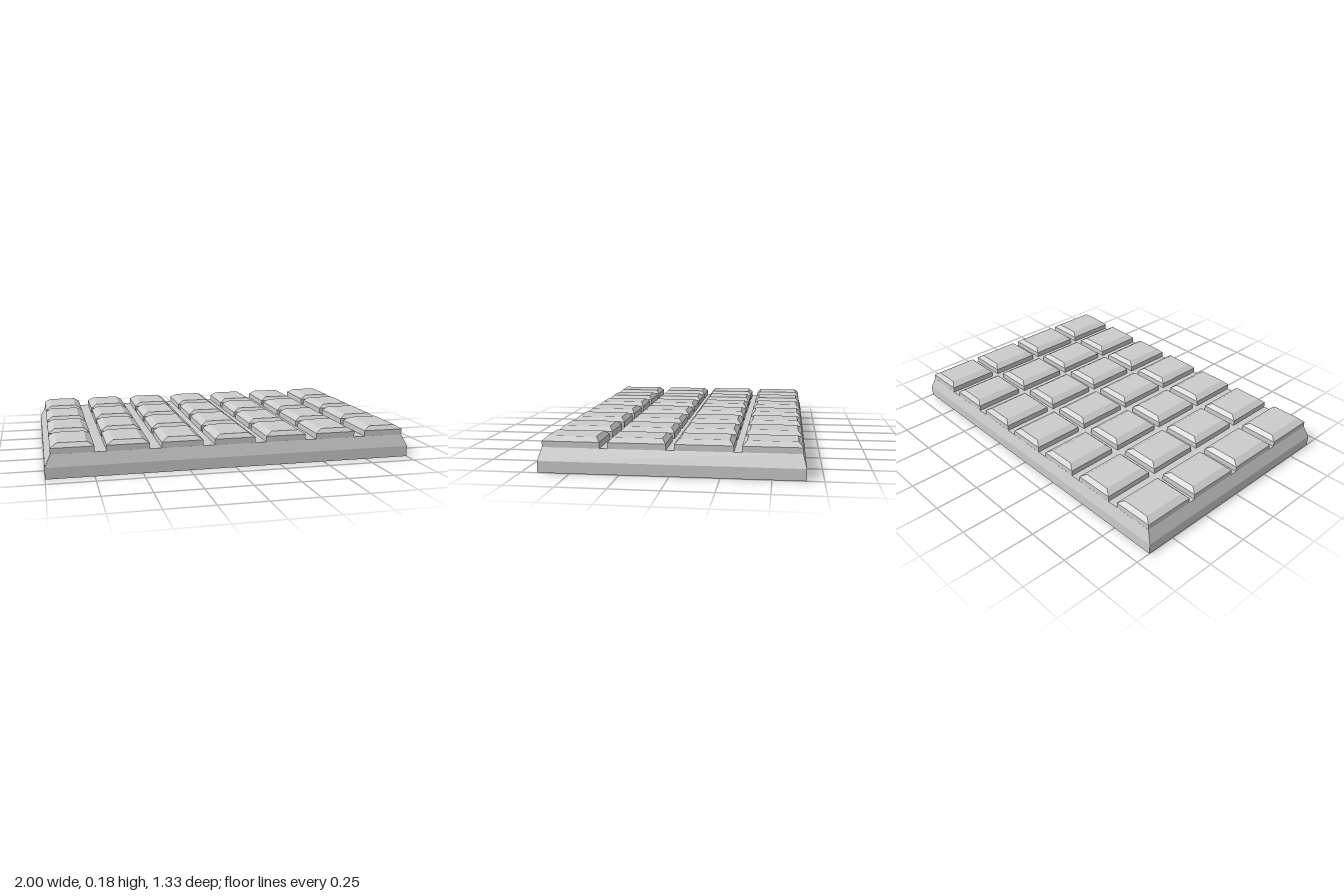
import * as THREE from 'three';

const material = new THREE.MeshStandardMaterial({ color: 0xcccccc, flatShading: true });

// Solid made of stacked rectangular levels: [y, halfWidth, halfDepth], bottom to top
function steppedBlock(levels) {
  const n = levels.length - 1;
  const box = new THREE.BoxGeometry(2, n, 2, 1, n, 1);
  const pos = box.attributes.position;
  for (let i = 0; i < pos.count; i++) {
    const [y, hx, hz] = levels[Math.round(pos.getY(i) + n / 2)];
    pos.setXYZ(i, pos.getX(i) * hx, y, pos.getZ(i) * hz);
  }
  const geometry = box.toNonIndexed();
  geometry.computeVertexNormals();
  return geometry;
}

export function createModel() {
  const model = new THREE.Group();
  model.name = 'chocolateBar';

  // Base slab: upright rim, then sides leaning inward to the groove floor
  const base = new THREE.Mesh(
    steppedBlock([[0, 1, 0.665], [0.06, 1, 0.665], [0.125, 0.97, 0.647]]),
    material
  );
  base.name = 'baseSlab';
  model.add(base);

  // Grid of raised pieces with bevelled tops
  const columns = 7, rows = 4, pitchX = 0.286, pitchZ = 0.3335;
  const pieceGeometry = steppedBlock([
    [0.12, 0.112, 0.1465], [0.156, 0.112, 0.1465], [0.178, 0.077, 0.1245],
  ]);
  const pieces = new THREE.Group();
  pieces.name = 'pieces';
  for (let r = 0; r < rows; r++) {
    for (let c = 0; c < columns; c++) {
      const piece = new THREE.Mesh(pieceGeometry, material);
      piece.name = `piece_${r + 1}_${c + 1}`;
      piece.position.set((c - (columns - 1) / 2) * pitchX, 0, (r - (rows - 1) / 2) * pitchZ);
      pieces.add(piece);
    }
  }
  model.add(pieces);
  return model;
}
